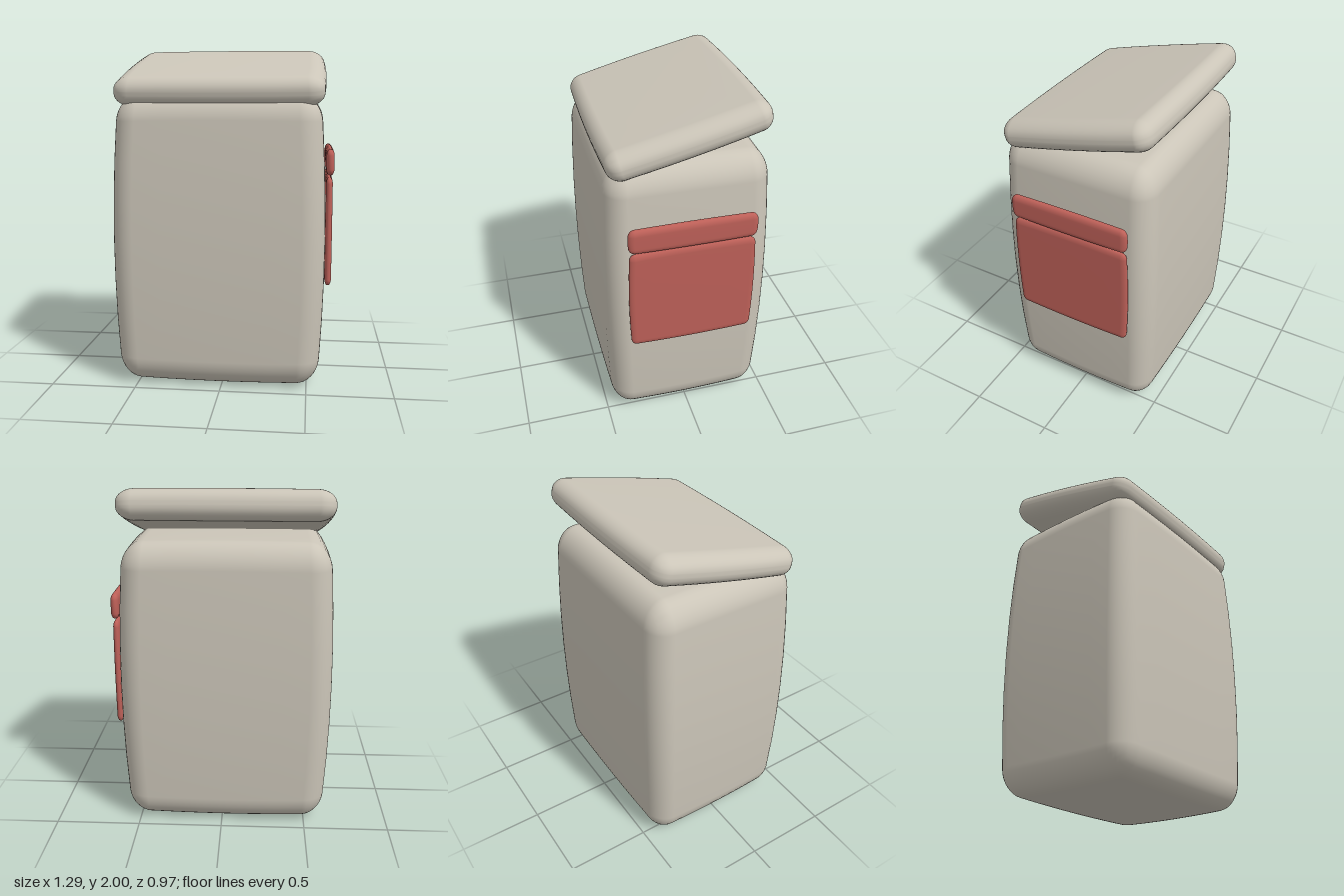
import * as THREE from 'three';
import { mergeVertices } from 'three/addons/utils/BufferGeometryUtils.js';

const canvas = new THREE.MeshStandardMaterial({ color: 0xcbc5b8 });
canvas.name = 'beigeCanvas';
const red = new THREE.MeshStandardMaterial({ color: 0xbd6058 });
red.name = 'redFabric';

// Soft cushion: a box with elliptical rounded edges and gently swollen faces.
// half = half sizes, radius = rounding per axis, bulge = taper towards the ends of each axis
function cushion(half, radius, bulge) {
  const n = 14, round = 4; // grid cells per side, cells used by each rounded edge
  let geo = new THREE.BoxGeometry(2, 2, 2, n, n, n);
  geo.deleteAttribute('uv');
  geo.deleteAttribute('normal');
  geo = mergeVertices(geo, 1e-4);
  const pos = geo.attributes.position;
  for (let i = 0; i < pos.count; i++) {
    const src = [pos.getX(i), pos.getY(i), pos.getZ(i)];
    const core = [], off = [];
    src.forEach((t, a) => {
      const inner = half[a] - radius[a], k = 1 - 2 * round / n;
      const s = Math.sign(t), m = Math.abs(t);
      core[a] = s * inner * Math.min(m / k, 1);
      off[a] = s * Math.tan(Math.max(0, (m - k) / (1 - k)) * Math.PI / 4);
    });
    const len = Math.hypot(...off) || 1;
    const p = core.map((c, a) => c + off[a] / len * radius[a]);
    const q = p.map((v, a) => (v / half[a]) ** 2 * bulge[a]);
    const sum = q[0] + q[1] + q[2];
    pos.setXYZ(i, ...p.map((v, a) => v * (1 - sum + q[a])));
  }
  geo.computeVertexNormals();
  return geo;
}

function part(name, material, center, half, radius, bulge) {
  const mesh = new THREE.Mesh(cushion(half, radius, bulge), material);
  mesh.name = name;
  mesh.position.set(...center);
  return mesh;
}

export function createModel() {
  const bag = new THREE.Group();
  bag.name = 'bag';

  // Main compartment
  bag.add(part('body', canvas, [-0.022, 0.86, 0],
    [0.623, 0.86, 0.485], [0.13, 0.15, 0.12], [0.012, 0.055, 0.012]));

  // Lid, raised at the back
  const lid = part('lid', canvas, [-0.02, 1.817, 0],
    [0.615, 0.09, 0.472], [0.09, 0.075, 0.075], [0.03, 0.02, 0.025]);
  lid.rotation.x = 0.245;
  bag.add(lid);

  // Side pocket and its flap
  bag.add(part('pocket', red, [0.616, 0.922, 0],
    [0.02, 0.322, 0.367], [0.017, 0.035, 0.03], [0.01, 0.025, 0.025]));
  bag.add(part('pocketFlap', red, [0.62, 1.323, 0],
    [0.024, 0.077, 0.366], [0.021, 0.035, 0.03], [0.01, 0.02, 0.05]));

  return bag;
}
